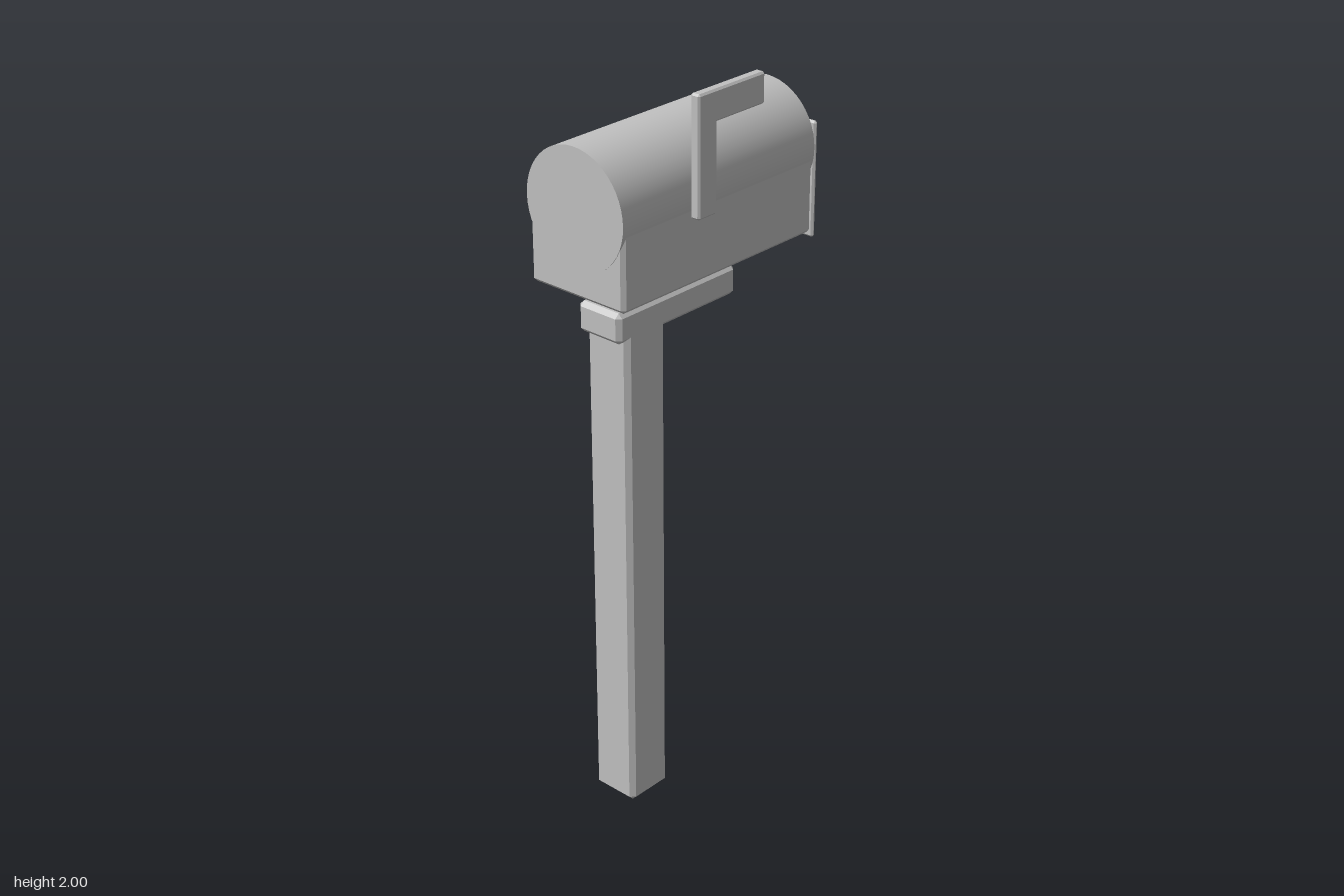
import * as THREE from 'three';
import { ConvexGeometry } from 'three/addons/geometries/ConvexGeometry.js';

// Box given by its limits, with every edge chamfered by c
function chamferBox(x0, x1, y0, y1, z0, z1, c) {
  const half = [(x1 - x0) / 2, (y1 - y0) / 2, (z1 - z0) / 2];
  const points = [];
  for (const sx of [-1, 1]) for (const sy of [-1, 1]) for (const sz of [-1, 1]) {
    for (let full = 0; full < 3; full++) {
      const [x, y, z] = [sx, sy, sz].map((s, i) => s * (half[i] - (i === full ? 0 : c)));
      points.push(new THREE.Vector3(x, y, z));
    }
  }
  return new ConvexGeometry(points).translate((x0 + x1) / 2, (y0 + y1) / 2, (z0 + z1) / 2);
}

export function createModel() {
  const model = new THREE.Group();
  model.name = 'mailbox';
  const grey = new THREE.MeshStandardMaterial({ color: 0xc0c0c0 });
  grey.name = 'plain grey';

  const add = (name, geometry, parent = model) => {
    const mesh = new THREE.Mesh(geometry, grey);
    mesh.name = name;
    parent.add(mesh);
  };
  const cx = -0.0225; // the post and box share this centre line

  // Post and the arm that carries the box
  add('post', chamferBox(cx - 0.07, cx + 0.07, 0, 1.42, 0.112, 0.252, 0.013));
  add('supportArm', chamferBox(cx - 0.07, cx + 0.07, 1.37, 1.452, -0.148, 0.28, 0.012));

  // Box: straight lower half and rounded roof
  add('boxBase', chamferBox(cx - 0.154, cx + 0.154, 1.502, 1.728, -0.34, 0.35, 0.01));
  const roof = new THREE.CylinderGeometry(0.1575, 0.1575, 0.691, 48);
  roof.rotateX(Math.PI / 2).translate(cx, 1.7275, 0.0065);
  add('boxRoof', roof);

  // Flat door at the back
  add('door', chamferBox(cx - 0.1575, cx + 0.1575, 1.488, 1.798, -0.352, -0.339, 0.005));

  // Raised flag on the left side
  const flag = new THREE.Group();
  flag.name = 'flag';
  model.add(flag);
  add('flagStem', chamferBox(0.151, 0.179, 1.69, 2, 0.075, 0.141, 0.005), flag);
  add('flagArm', chamferBox(0.151, 0.179, 1.92, 2, -0.093, 0.141, 0.005), flag);

  return model;
}
